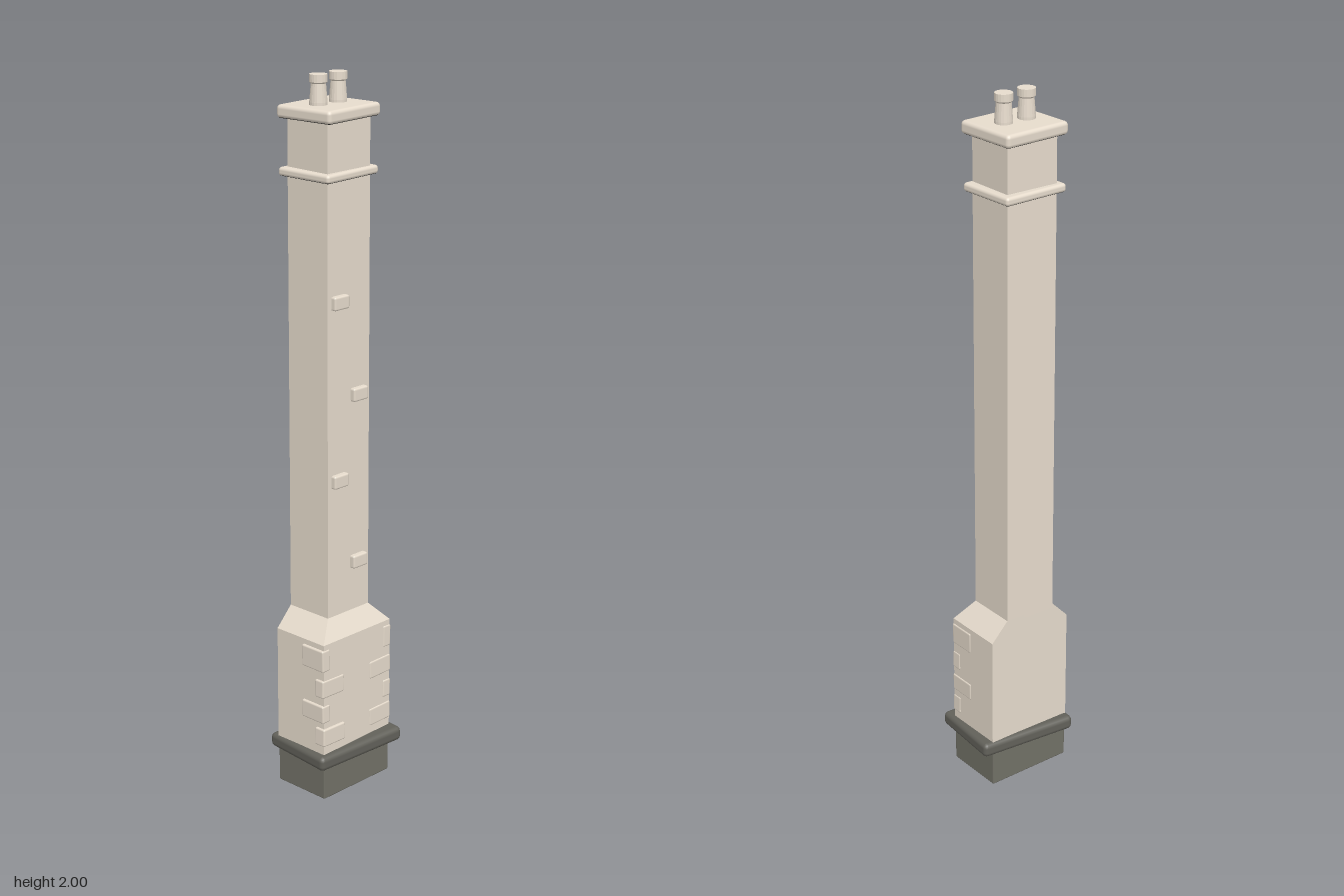
import * as THREE from 'three';
import { RoundedBoxGeometry } from 'three/addons/geometries/RoundedBoxGeometry.js';

export function createModel() {
  const root = new THREE.Group();
  const material = (name, color) => {
    const m = new THREE.MeshStandardMaterial({ color });
    m.name = name;
    return m;
  };
  const stone = material('pale stone', 0xe7dccd);
  const footingStone = material('grey footing stone', 0x727167);
  const slabStone = material('dark slab stone', 0x62615a);
  const soot = material('sooty underside', 0x3c3b38);
  // Face order of a box: +x, -x, +y, -y, +z, -z
  const sootBelow = (m) => [m, m, m, soot, m, m];

  const add = (name, geometry, mat, x = 0, y = 0, z = 0) => {
    const mesh = new THREE.Mesh(geometry, mat);
    mesh.name = name;
    mesh.position.set(x, y, z);
    root.add(mesh);
    return mesh;
  };
  // Bevelled block given by its extents on each axis
  const block = (name, mat, [x0, x1], [y0, y1], [z0, z1], bevel = 0.004) =>
    add(name, new RoundedBoxGeometry(x1 - x0, y1 - y0, z1 - z0, 1, bevel), mat,
      (x0 + x1) / 2, (y0 + y1) / 2, (z0 + z1) / 2);

  // Footing and its crooked dark slab
  block('footing', sootBelow(footingStone), [-0.135, 0.127], [0, 0.115], [-0.095, 0.085]);
  const slab = add('footingSlab', new RoundedBoxGeometry(0.302, 0.042, 0.226, 2, 0.014), sootBelow(slabStone), 0, 0.12, 0);
  slab.rotation.set(0.01, -0.08, 0.02);

  // Wide base
  add('base', new THREE.BoxGeometry(0.265, 0.35, 0.18), stone, -0.004, 0.292, -0.005);

  // Sloping shoulder: a box whose top is pulled in to the shaft, back kept flush
  const shoulder = new THREE.BoxGeometry(0.265, 0.055, 0.18).toNonIndexed();
  const p = shoulder.attributes.position;
  for (let i = 0; i < p.count; i++) {
    if (p.getY(i) > 0) {
      p.setX(i, Math.sign(p.getX(i)) * 0.08);
      if (p.getZ(i) > 0) p.setZ(i, 0.055);
    }
  }
  shoulder.computeVertexNormals();
  add('shoulder', shoulder, stone, -0.004, 0.4945, -0.005);

  // Tall shaft, with a thin band and a cap set slightly askew
  add('shaft', new THREE.BoxGeometry(0.16, 1.39, 0.145), stone, -0.004, 1.205, -0.0225);
  const band = add('band', new RoundedBoxGeometry(0.2, 0.024, 0.178, 2, 0.009), sootBelow(stone), -0.002, 1.745, -0.026);
  band.rotation.set(0.01, 0.04, 0.01);
  const cap = add('cap', new RoundedBoxGeometry(0.206, 0.036, 0.186, 2, 0.011), sootBelow(stone), -0.002, 1.903, -0.025);
  cap.rotation.set(0, 0.055, 0.008);

  // Tapered chimney pots with a lip
  const pot = new THREE.LatheGeometry([
    [0, 0], [0.024, 0], [0.024, 0.008], [0.02, 0.056], [0.024, 0.06], [0.024, 0.08], [0, 0.08],
  ].map(([r, y]) => new THREE.Vector2(r, y)), 20).toNonIndexed();
  pot.computeVertexNormals();
  for (const x of [-0.04, 0.033]) add('chimneyPot', pot, stone, x, 1.92, -0.025);

  // Single raised bricks up the front of the shaft
  [[-0.042, 1.41], [0.032, 1.145], [-0.042, 0.914], [0.032, 0.665]].forEach(([x, y]) =>
    block('raisedBrick', stone, [x - 0.028, x + 0.028], [y - 0.019, y + 0.019], [0.03, 0.065], 0.006));

  // Corner stones, alternately long on the front and long on the side
  [0.19, 0.26, 0.335, 0.42].forEach((y, i) => {
    const longFront = i % 2 === 0;
    const h = i === 3 ? 0.032 : 0.026;
    for (const side of [-1, 1]) {
      const outer = -0.004 + side * (side < 0 ? 0.139 : 0.135);
      const inner = outer - side * (longFront ? 0.085 : 0.03);
      const proud = side < 0 && i === 0 ? 0.092 : 0.088;
      const mesh = block('cornerStone', stone, [Math.min(outer, inner), Math.max(outer, inner)],
        [y - h, y + h], [longFront ? 0.055 : 0.005, proud], 0.005);
      mesh.rotation.z = side * (longFront ? 0.02 : -0.02);
    }
  });
  return root;
}
